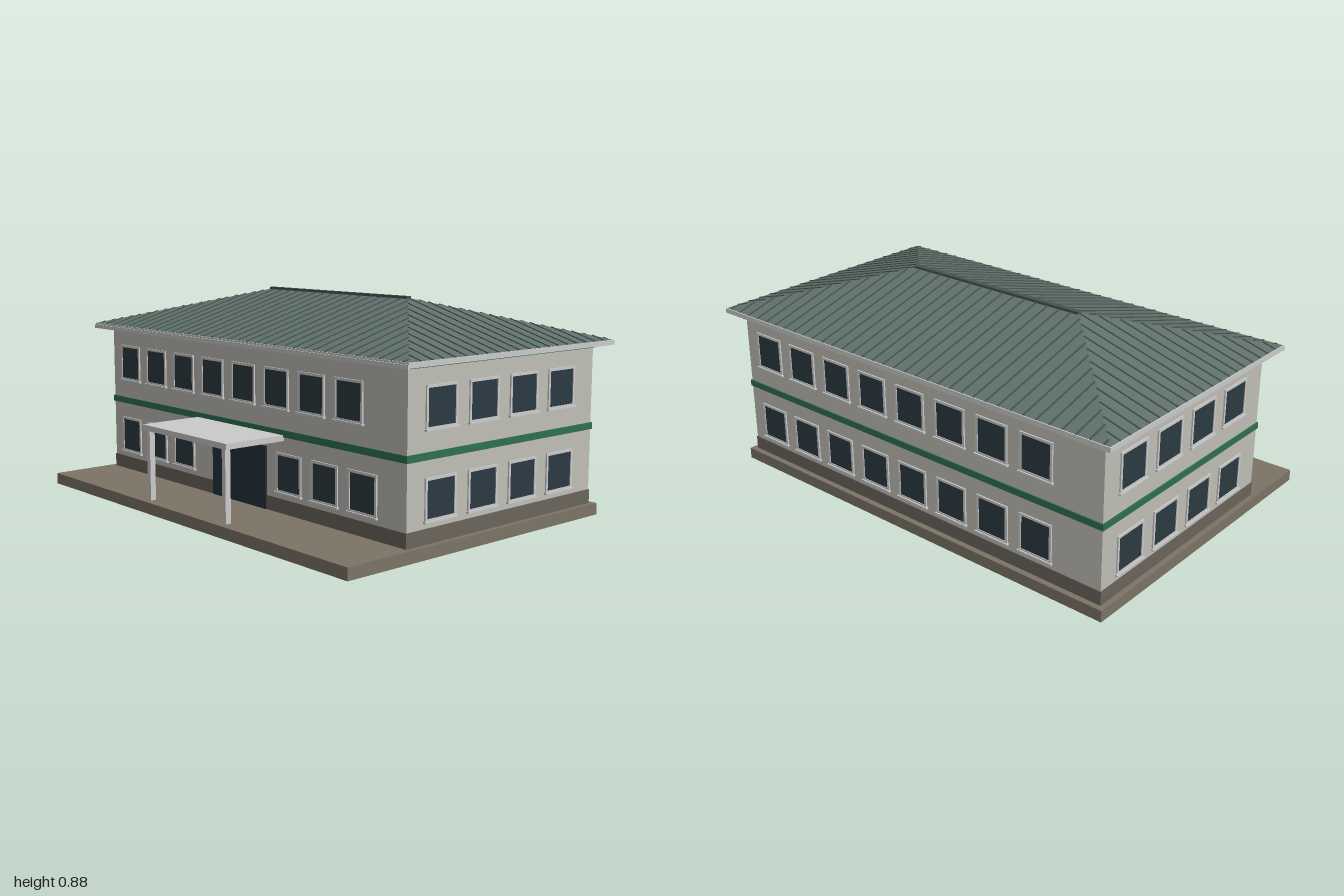
import * as THREE from 'three';

const mat = (color) => new THREE.MeshStandardMaterial({ color });
const M = {
  wall: mat(0xc0beb6), base: mat(0x7c7466), skirting: mat(0x6b645b), green: mat(0x2f7050),
  roof: mat(0x5f706a), seam: mat(0x46544f), trim: mat(0xcccccc), glass: mat(0x2b3a42), door: mat(0x26323c),
};
M.roof.side = THREE.DoubleSide;

const CZ = -0.12;             // centre of the building in z
const W = 0.94, D = 0.518;    // half width and half depth of the walls
const EAVE = 0.708, RISE = 0.16, RX = 0.995, RZ = 0.57; // roof
const RIDGE = RX - RZ;        // half length of the ridge

function box(parent, name, material, size, pos) {
  const mesh = new THREE.Mesh(new THREE.BoxGeometry(...size), material);
  mesh.name = name;
  mesh.position.set(...pos);
  parent.add(mesh);
  return mesh;
}

// Window facing +z with its back on z = 0
function makeWindow(w, h) {
  const g = new THREE.Group();
  g.name = 'window';
  const rect = (T, a, b) => new T([[-a, -b], [a, -b], [a, b], [-a, b]].map((p) => new THREE.Vector2(...p)));
  const shape = rect(THREE.Shape, w / 2 + 0.01, h / 2 + 0.01);
  shape.holes.push(rect(THREE.Path, w / 2, h / 2));
  const frame = new THREE.Mesh(new THREE.ExtrudeGeometry(shape, { depth: 0.006, bevelEnabled: false }), M.trim);
  frame.name = 'windowFrame';
  g.add(frame);
  box(g, 'windowGlass', M.glass, [w, h, 0.004], [0, 0, 0.001]);
  box(g, 'windowSill', M.trim, [w + 0.03, 0.007, 0.012], [0, -h / 2 - 0.01, 0.006]);
  return g;
}

// One wall's windows, in the wall's own frame: u runs right, seen from outside
function windowWall(name, angle, distance, rows, width) {
  const wall = new THREE.Group();
  wall.name = name;
  for (const [y, list] of rows) {
    for (const u of list) {
      const win = makeWindow(width, 0.138);
      win.position.set(u, y, distance);
      wall.add(win);
    }
  }
  wall.rotation.y = angle;
  wall.position.z = CZ;
  return wall;
}

// Hipped roof skin from the eave corners and ridge ends
function hipRoof() {
  const a = [-RX, 0, RZ], b = [RX, 0, RZ], c = [RX, 0, -RZ], d = [-RX, 0, -RZ];
  const l = [-RIDGE, RISE, 0], r = [RIDGE, RISE, 0];
  const tris = [a, b, r, a, r, l, b, c, r, c, d, l, c, l, r, d, a, l];
  const geo = new THREE.BufferGeometry();
  geo.setAttribute('position', new THREE.Float32BufferAttribute(tris.flat(), 3));
  geo.computeVertexNormals();
  const mesh = new THREE.Mesh(geo, M.roof);
  mesh.name = 'roofSkin';
  return mesh;
}

// Standing seams for one slope; each stops at the hip
function seams(angle, eaveHalf, eaveDistance) {
  const g = new THREE.Group();
  g.name = 'roofSeams';
  const pitch = Math.atan2(RISE, RZ), step = 0.057;
  const n = Math.floor((eaveHalf - 0.02) / step);
  for (let i = -n; i <= n; i++) {
    const run = Math.min(RZ, eaveHalf - Math.abs(i * step));
    const seam = box(g, 'roofSeam', M.seam, [0.006, 0.006, run / Math.cos(pitch)],
      [i * step, (run / 2) * (RISE / RZ), eaveDistance - run / 2]);
    seam.rotation.x = pitch;
  }
  g.rotation.y = angle;
  return g;
}

export function createModel() {
  const model = new THREE.Group();
  model.name = 'building';

  // Base, walls and bands
  box(model, 'base', M.base, [1.93, 0.047, 1.36], [0, 0.0235, 0.015]);
  box(model, 'walls', M.wall, [W * 2, 0.65, D * 2], [0, 0.37, CZ]);
  const ring = (name, m, y0, y1, out) =>
    box(model, name, m, [2 * (W + out), y1 - y0, 2 * (D + out)], [0, (y0 + y1) / 2, CZ]);
  ring('skirting', M.skirting, 0.045, 0.104, 0.003);
  ring('floorBand', M.green, 0.35, 0.377, 0.005);
  ring('eaveBand', M.green, 0.676, 0.69, 0.005);

  // Windows
  const row = (start, step, count) => Array.from({ length: count }, (_, i) => start + i * step);
  const long = row(-0.8, 0.2065, 8), short = row(-0.35, 0.2235, 4);
  const HI = 0.535, LO = 0.207;
  model.add(
    windowWall('frontWindows', 0, D, [[HI, long], [LO, [...row(-0.8, 0.2065, 3), ...row(0.307, 0.2065, 3)]]], 0.13),
    windowWall('backWindows', Math.PI, D, [[HI, long], [LO, long]], 0.13),
    windowWall('leftWindows', Math.PI / 2, W, [[HI, short], [LO, short]], 0.14),
    windowWall('rightWindows', -Math.PI / 2, W, [[HI, short], [LO, short]], 0.14),
  );

  // Entrance with canopy
  box(model, 'door', M.door, [0.35, 0.253, 0.02], [-0.003, 0.1735, 0.395]);
  box(model, 'canopy', M.trim, [0.56, 0.023, 0.28], [-0.003, 0.346, 0.535]);
  for (const s of [-1, 1]) {
    box(model, 'canopyPost', M.trim, [0.021, 0.29, 0.024], [s * 0.253 - 0.003, 0.19, 0.655]);
  }

  // Roof
  box(model, 'eaves', M.trim, [2, 0.02, 1.15], [0, 0.698, CZ]);
  box(model, 'gutter', M.trim, [2, 0.016, 0.012], [0, 0.693, 0.455]);
  const roof = new THREE.Group();
  roof.name = 'roof';
  roof.position.set(0, EAVE, CZ);
  roof.add(hipRoof());
  for (const k of [0, 1]) {
    roof.add(seams(k * Math.PI, RX, RZ), seams(k * Math.PI + Math.PI / 2, RZ, RX));
  }
  box(roof, 'ridgeCap', M.seam, [2 * RIDGE + 0.01, 0.014, 0.024], [0, RISE, 0]);
  model.add(roof);
  return model;
}
